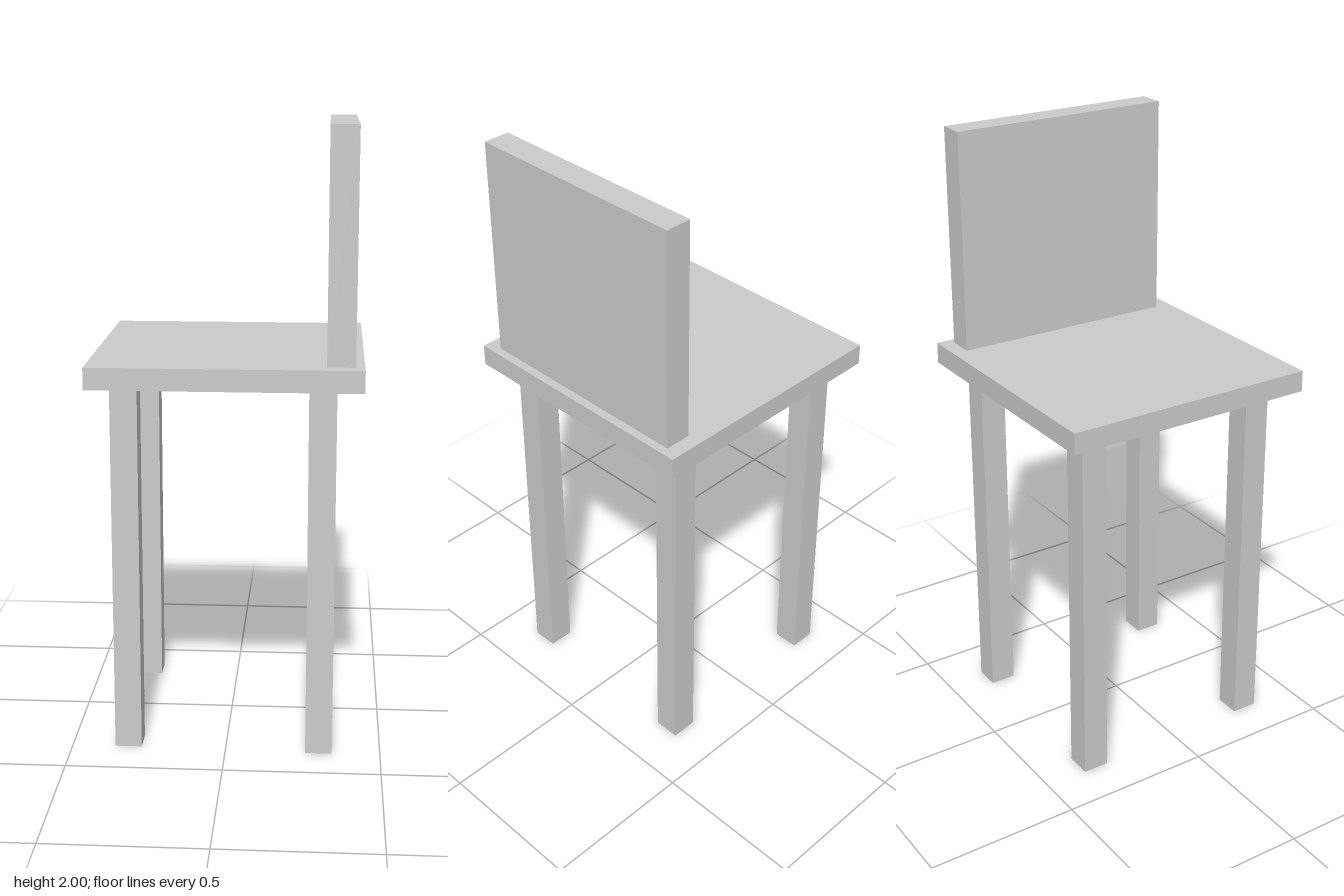
import * as THREE from 'three';

export function createModel() {
  const model = new THREE.Group();
  model.name = 'chair';
  const material = new THREE.MeshStandardMaterial({ color: 0xcccccc, flatShading: true });

  // Box given by its extents along each axis
  function addBox(name, [x0, x1], [y0, y1], [z0, z1]) {
    const mesh = new THREE.Mesh(new THREE.BoxGeometry(x1 - x0, y1 - y0, z1 - z0), material);
    mesh.position.set((x0 + x1) / 2, (y0 + y1) / 2, (z0 + z1) / 2);
    mesh.name = name;
    model.add(mesh);
  }

  const seatBottom = 1.205, seatTop = 1.275, seatHalf = 0.428;

  // Square seat slab
  addBox('seat', [-seatHalf, seatHalf], [seatBottom, seatTop], [-seatHalf, seatHalf]);

  // Solid backrest standing on the +x edge of the seat
  addBox('backrest', [0.312, 0.4], [seatTop, 2], [-0.379, 0.377]);

  // Four square legs, placed by their centres
  const legHalf = 0.043;
  const legs = [
    ['backLeftLeg', 0.302, 0.317],
    ['backRightLeg', 0.302, -0.317],
    ['frontLeftLeg', -0.317, 0.302],
    ['frontRightLeg', -0.317, -0.317],
  ];
  for (const [name, x, z] of legs) {
    addBox(name, [x - legHalf, x + legHalf], [0, seatBottom], [z - legHalf, z + legHalf]);
  }

  return model;
}
